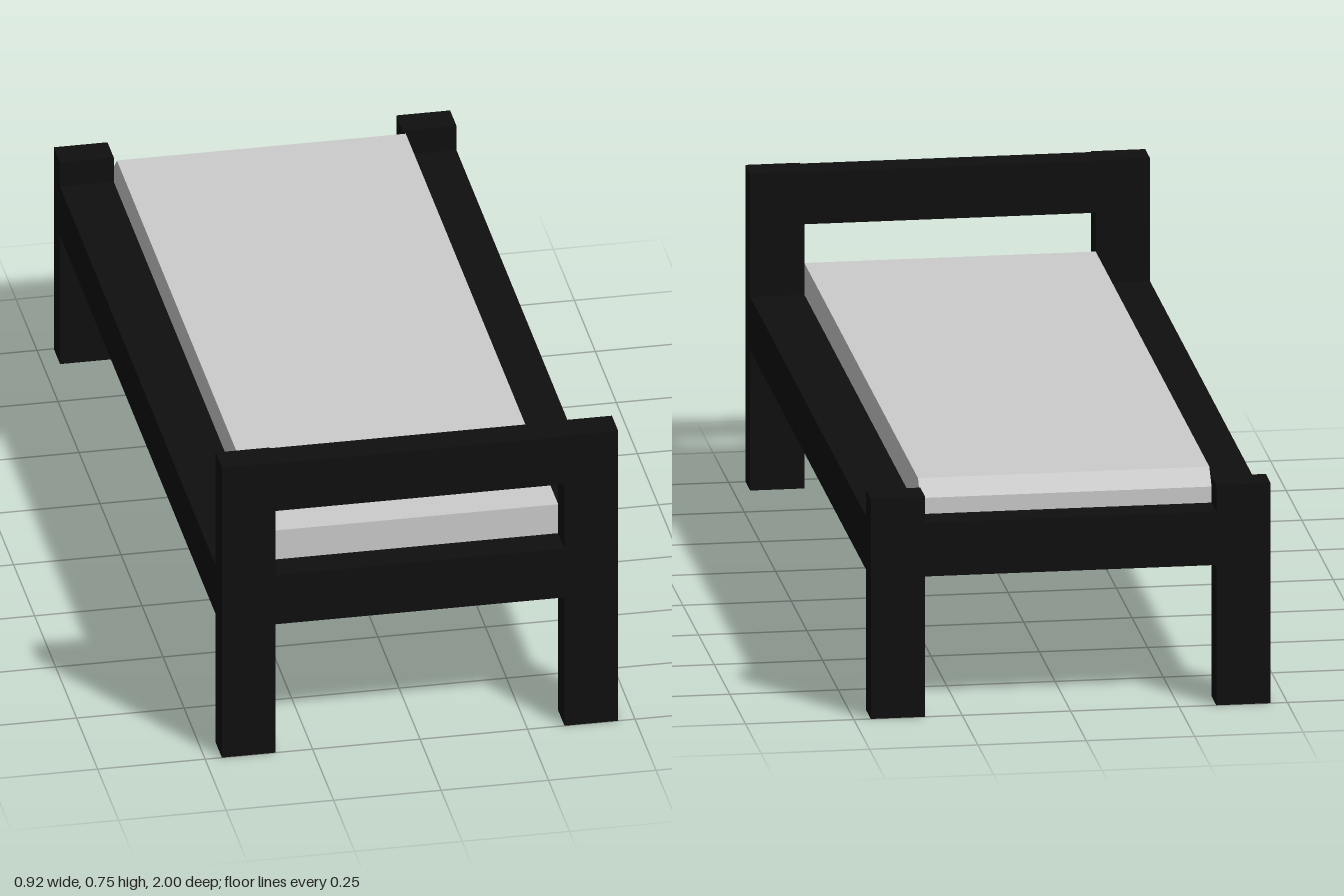
import * as THREE from 'three';

export function createModel() {
  const bed = new THREE.Group();
  bed.name = 'bed';
  const frameMat = new THREE.MeshStandardMaterial({ color: 0x0f0f0f });
  const mattressMat = new THREE.MeshStandardMaterial({ color: 0xcccccc });

  const X = 0.461, Z = 1;            // outer half sizes
  const W = 0.125, D = 0.075;        // post width and depth
  const inX = X - W, inZ = Z - D;    // inner half sizes
  const railLow = 0.333, railTop = 0.46;
  const frontTop = 0.752, backTop = 0.523;

  // Box given by its extents on each axis
  function bar(name, x0, x1, y0, y1, z0, z1) {
    const mesh = new THREE.Mesh(new THREE.BoxGeometry(x1 - x0, y1 - y0, z1 - z0), frameMat);
    mesh.position.set((x0 + x1) / 2, (y0 + y1) / 2, (z0 + z1) / 2);
    mesh.name = name;
    bed.add(mesh);
  }

  // Posts and side rails, mirrored left and right
  for (const [side, x0, x1] of [['left', inX, X], ['right', -X, -inX]]) {
    bar(side + 'FrontPost', x0, x1, 0, frontTop, inZ, Z);
    bar(side + 'BackPost', x0, x1, 0, backTop, -Z, -inZ);
    bar(side + 'SideRail', x0, x1, railLow, railTop, -inZ, inZ);
  }

  // Cross rails between the posts
  bar('frontRail', -inX, inX, railLow, railTop, inZ, Z);
  bar('backRail', -inX, inX, railLow, railTop, -Z, -inZ);
  bar('topRail', -inX, inX, 0.627, 0.75, inZ, Z);

  // Mattress: side profile with a bevelled back edge, extruded across the width
  const base = 0.34, top = 0.535, bevel = 0.037;
  const profile = new THREE.Shape([
    [-inZ, base], [inZ, base], [inZ, top - bevel], [inZ - bevel, top], [-inZ, top],
  ].map(([a, b]) => new THREE.Vector2(a, b)));
  const geometry = new THREE.ExtrudeGeometry(profile, { depth: inX * 2, bevelEnabled: false });
  geometry.translate(0, 0, -inX);
  geometry.rotateY(Math.PI / 2);     // profile x now runs towards the back
  const mattress = new THREE.Mesh(geometry, mattressMat);
  mattress.name = 'mattress';
  bed.add(mattress);

  return bed;
}
